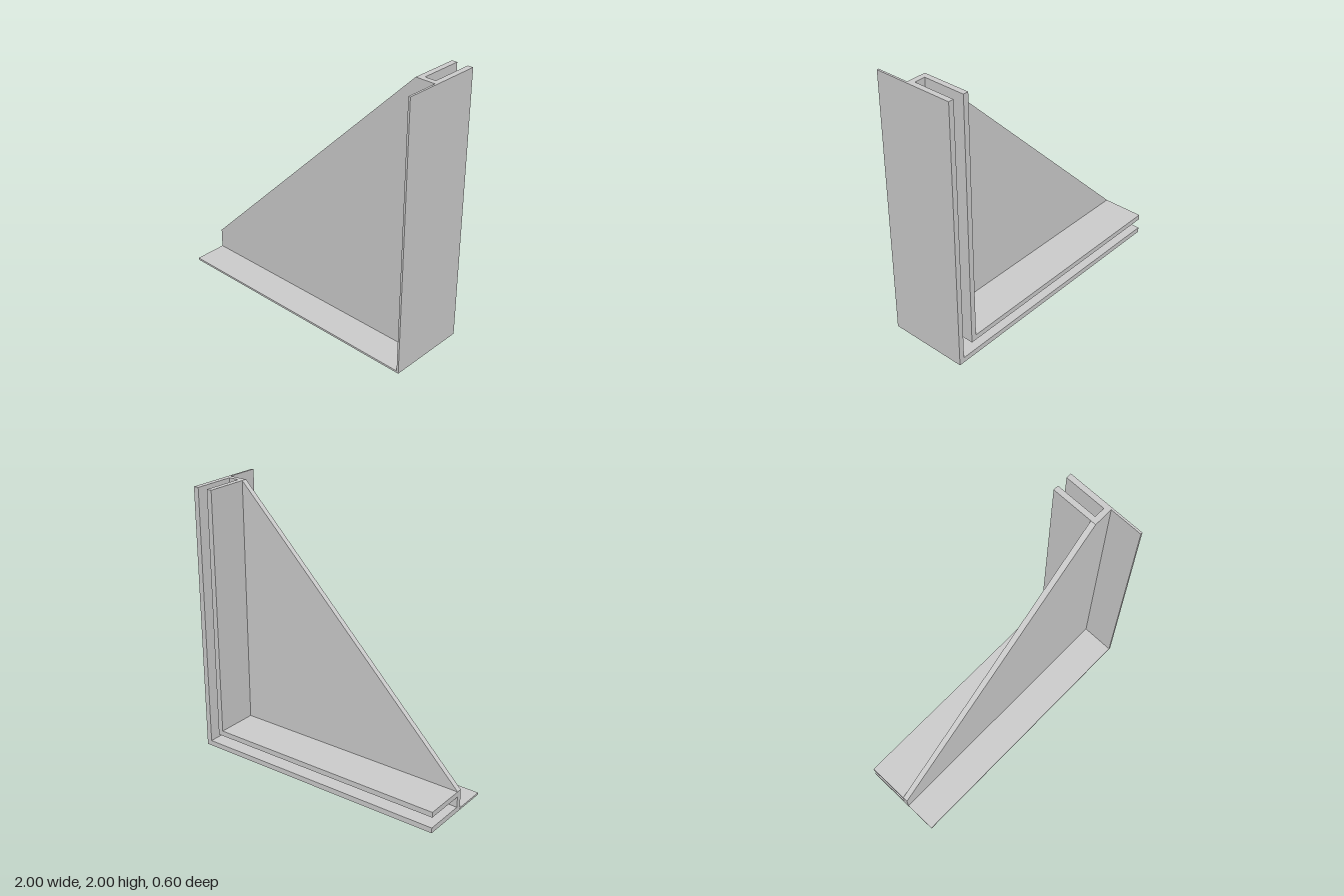
import * as THREE from 'three';

const material = new THREE.MeshStandardMaterial({ color: 0xcccccc, flatShading: true });

// Extrudes an outline in the xy plane from zBack to zFront
function slab(name, points, zBack, zFront) {
  const shape = new THREE.Shape(points.map(([x, y]) => new THREE.Vector2(x, y)));
  const geometry = new THREE.ExtrudeGeometry(shape, { depth: zFront - zBack, bevelEnabled: false });
  geometry.translate(0, 0, zBack);
  const mesh = new THREE.Mesh(geometry, material);
  mesh.name = name;
  return mesh;
}

// L outline running along the bottom and the +x side, set in by inset
function angleOutline(inset, thickness) {
  const a = inset, b = inset + thickness;
  return [[-1, a], [1 - a, a], [1 - a, 2], [1 - b, 2], [1 - b, b], [-1, b]];
}

export function createModel() {
  const group = new THREE.Group();
  group.name = 'cornerBracket';
  const back = -0.3, plateBack = 0.015, plateFront = 0.055, front = 0.3;

  // Triangular web with cut-off tips
  group.add(slab('gussetPlate', [[-1, 0], [1, 0], [1, 2], [0.84, 2], [-1, 0.16]], plateBack, plateFront));
  // Two parallel flanges forming the channel behind the plate
  group.add(slab('outerFlange', angleOutline(0, 0.04), back, plateBack));
  group.add(slab('innerFlange', angleOutline(0.12, 0.04), back, plateBack));
  // Thin lip in front of the plate
  group.add(slab('frontLip', angleOutline(0, 0.015), plateFront, front));

  return group;
}
